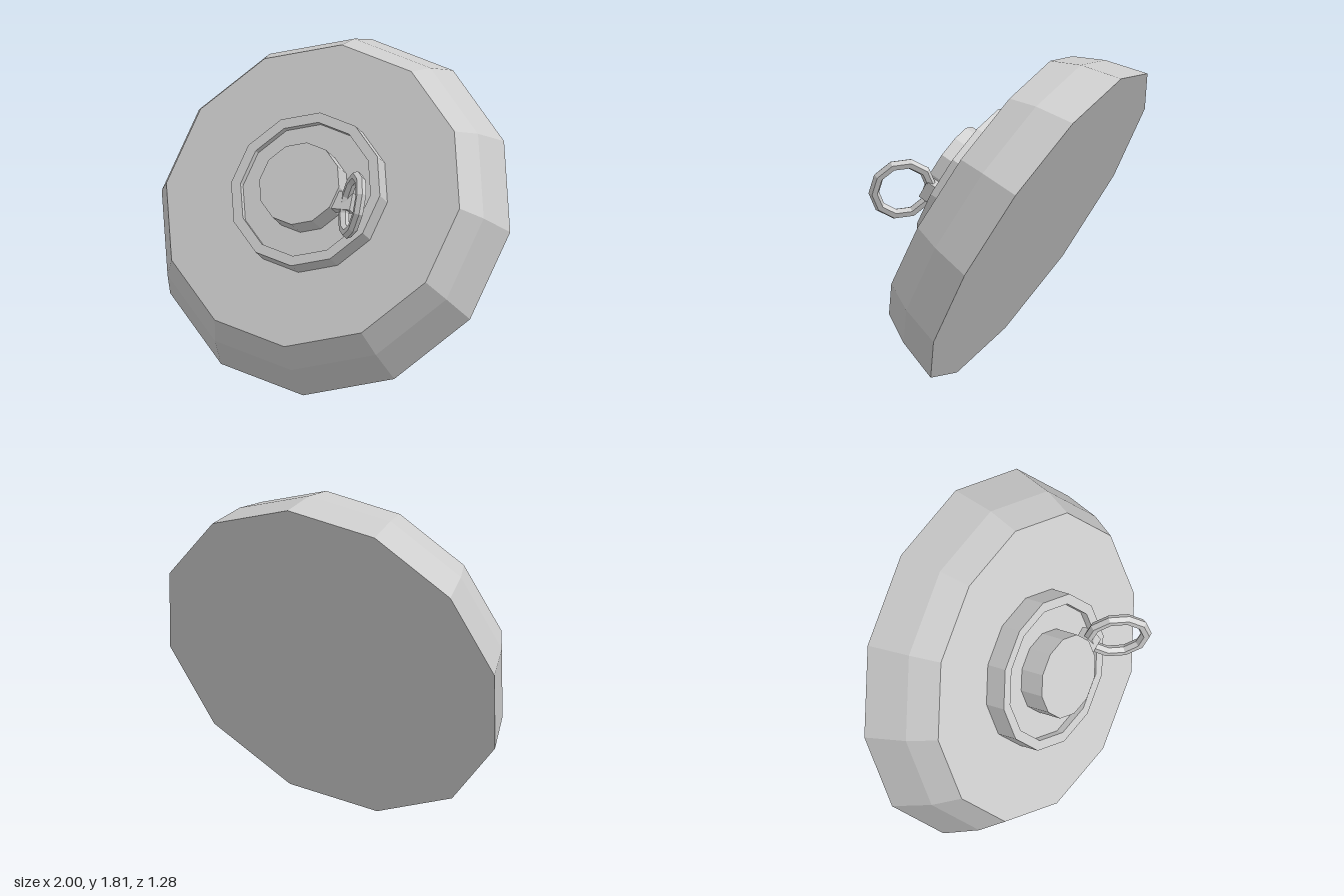
import * as THREE from 'three';

const SIDES = 12;

export function createModel() {
  const model = new THREE.Group();
  model.name = 'tiltedDisc';
  const material = new THREE.MeshStandardMaterial({ color: 0xcccccc, flatShading: true });

  // Everything is built along local +z, then the whole assembly leans back
  const assembly = new THREE.Group();
  assembly.name = 'assembly';
  assembly.position.set(0, 0.885, -0.16);
  assembly.rotation.x = -0.499;
  model.add(assembly);

  const add = (name, geometry) => {
    const mesh = new THREE.Mesh(geometry, material);
    mesh.name = name;
    assembly.add(mesh);
    return mesh;
  };

  // Twelve-sided turned part from [radius, height] pairs, listed back to front
  const turned = (name, profile) => {
    const points = profile.map(([r, h]) => new THREE.Vector2(r, h));
    return add(name, new THREE.LatheGeometry(points, SIDES).rotateX(Math.PI / 2));
  };

  // Main body with a tapered rim
  turned('body', [[0, 0], [1, 0], [0.93, 0.23], [0.847, 0.387], [0, 0.387]]);

  // Raised collar with a shallow recess
  turned('collar', [[0.43, 0.38], [0.43, 0.507], [0.375, 0.507], [0.375, 0.467], [0, 0.467]]);

  // Central button
  turned('button', [[0.23, 0.46], [0.23, 0.61], [0, 0.61]]);

  // Lug on the side of the button that holds the pull ring
  const lug = add('lug', new THREE.BoxGeometry(0.12, 0.1, 0.07));
  lug.position.set(0.245, -0.065, 0.55);

  // Pull ring
  const ring = add('pullRing', new THREE.TorusGeometry(0.155, 0.029, 6, 10));
  ring.position.set(0.352, -0.11, 0.674);
  const axis = new THREE.Vector3(0.8, 0.07, -0.59).normalize();
  ring.quaternion.setFromUnitVectors(new THREE.Vector3(0, 0, 1), axis);

  return model;
}
